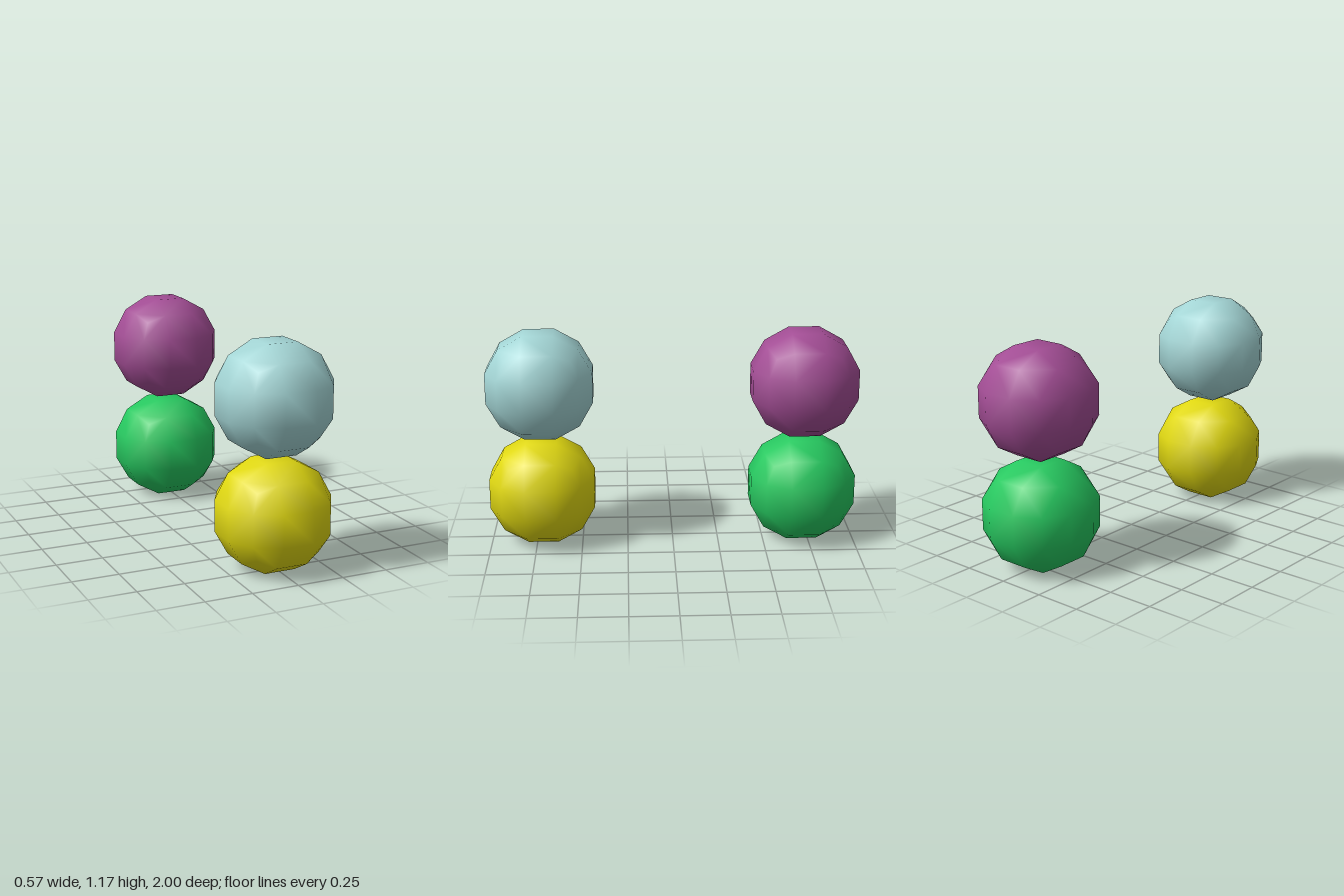
import * as THREE from 'three';
import { ConvexGeometry } from 'three/addons/geometries/ConvexGeometry.js';

// Low-poly ball: four points per cube side, two per cube edge, one per cube corner
function ballGeometry() {
  const near = 0.083, edge = 0.213, far = 0.286, corner = 0.173;
  const points = [];
  for (const sx of [-1, 1]) for (const sy of [-1, 1]) for (const sz of [-1, 1]) {
    const add = (x, y, z) => points.push(new THREE.Vector3(x * sx, y * sy, z * sz));
    add(far, near, near);
    add(near, far, near);
    add(near, near, far);
    add(near, edge, edge);
    add(edge, near, edge);
    add(edge, edge, near);
    add(corner, corner, corner);
  }
  const geometry = new ConvexGeometry(points);
  // Radial normals give smooth shading
  const position = geometry.attributes.position;
  const normal = geometry.attributes.normal;
  const v = new THREE.Vector3();
  for (let i = 0; i < position.count; i++) {
    v.fromBufferAttribute(position, i).normalize();
    normal.setXYZ(i, v.x, v.y, v.z);
  }
  return geometry;
}

export function createModel() {
  const group = new THREE.Group();
  group.name = 'stackedBalls';
  const geometry = ballGeometry();

  // Two stacks of two balls, at the front and at the back
  const balls = [
    ['frontLowerBall', 'yellow', 0xe0d810, 0.287, 0.715],
    ['frontUpperBall', 'paleCyan', 0xa4d6d6, 0.887, 0.715],
    ['backLowerBall', 'green', 0x26c960, 0.287, -0.715],
    ['backUpperBall', 'purple', 0xa34d95, 0.887, -0.715],
  ];
  for (const [name, colourName, color, y, z] of balls) {
    const material = new THREE.MeshStandardMaterial({ color });
    material.name = colourName;
    const ball = new THREE.Mesh(geometry, material);
    ball.name = name;
    ball.position.set(0, y, z);
    group.add(ball);
  }
  return group;
}
